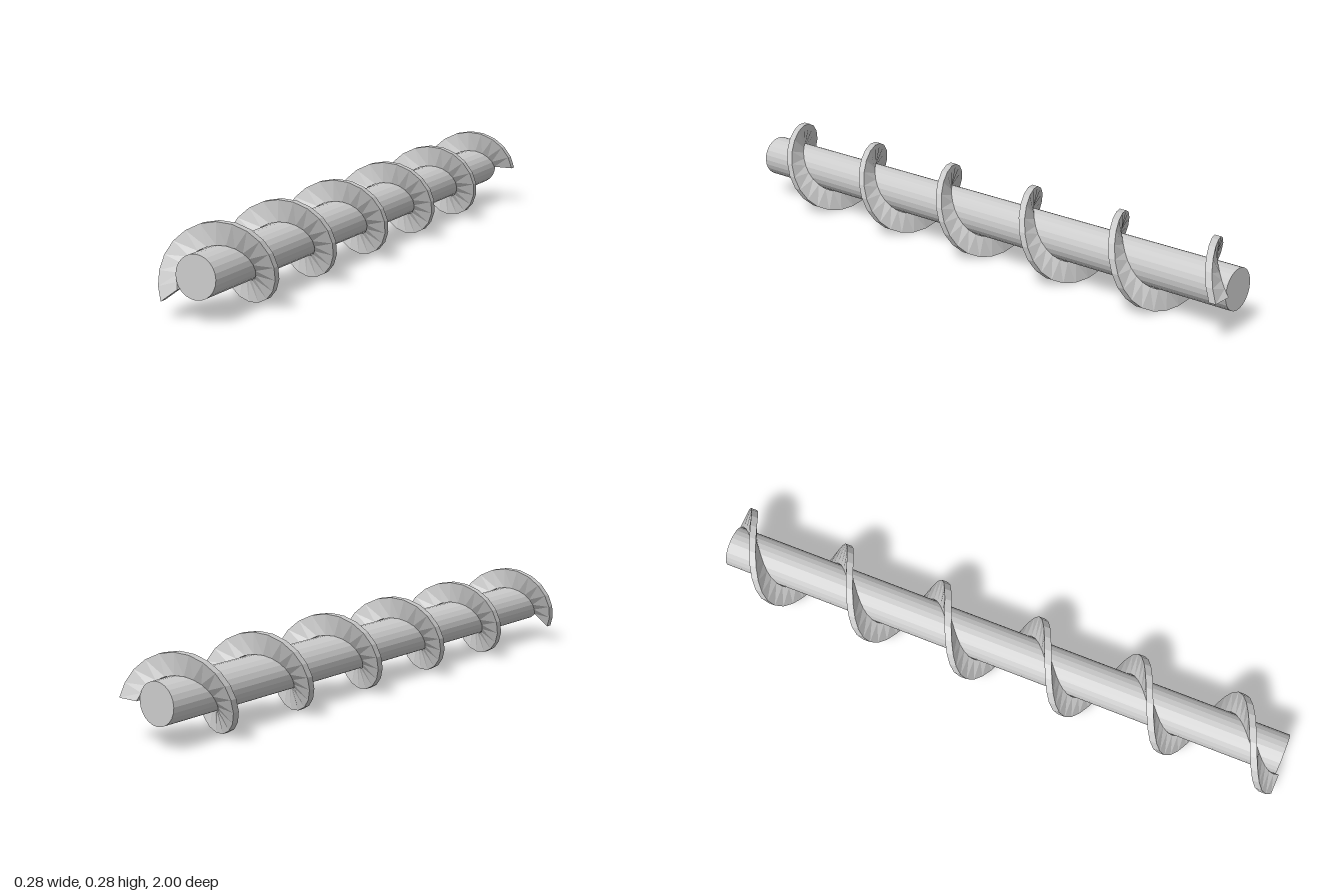
import * as THREE from 'three';

const AXIS_Y = 0.141;      // height of the auger axis
const SHAFT_R = 0.0685;
const BLADE_IN = 0.0705;
const BLADE_OUT = 0.141;
const HALF_LEN = 0.988;    // blade centreline and shaft run from +z to -z
const THICK = 0.024;
const TURNS = 5.6;
const STEPS = 112;
const START = THREE.MathUtils.degToRad(216);

// Rectangular cross-section swept along a helix, closed at both ends
function helicalBlade() {
  const section = (i) => {
    const t = i / STEPS;
    const a = START - t * TURNS * Math.PI * 2;
    const z = HALF_LEN * (1 - 2 * t);
    const corner = (r, dz) => [r * Math.cos(a), r * Math.sin(a), z + dz];
    const h = THICK / 2;
    return [corner(BLADE_IN, h), corner(BLADE_OUT, h), corner(BLADE_OUT, -h), corner(BLADE_IN, -h)];
  };
  const pos = [];
  const quad = (a, b, c, d) => pos.push(...a, ...b, ...c, ...a, ...c, ...d);

  for (let i = 0; i < STEPS; i++) {
    const p = section(i), q = section(i + 1);
    for (let k = 0; k < 4; k++) {
      const n = (k + 1) % 4;
      quad(p[n], p[k], q[k], q[n]);
    }
  }
  quad(...section(0));
  quad(...section(STEPS).reverse());

  const geo = new THREE.BufferGeometry();
  geo.setAttribute('position', new THREE.Float32BufferAttribute(pos, 3));
  geo.computeVertexNormals();
  return geo;
}

export function createModel() {
  const group = new THREE.Group();
  group.name = 'augerScrew';
  const material = new THREE.MeshStandardMaterial({ color: 0xcccccc, flatShading: true });

  // Central shaft lying along z
  const shaft = new THREE.Mesh(
    new THREE.CylinderGeometry(SHAFT_R, SHAFT_R, HALF_LEN * 2, 24).rotateX(Math.PI / 2),
    material
  );
  shaft.name = 'shaft';
  shaft.position.y = AXIS_Y;

  // Spiral flight around the shaft
  const blade = new THREE.Mesh(helicalBlade(), material);
  blade.name = 'spiralBlade';
  blade.position.y = AXIS_Y;

  group.add(shaft, blade);
  return group;
}
